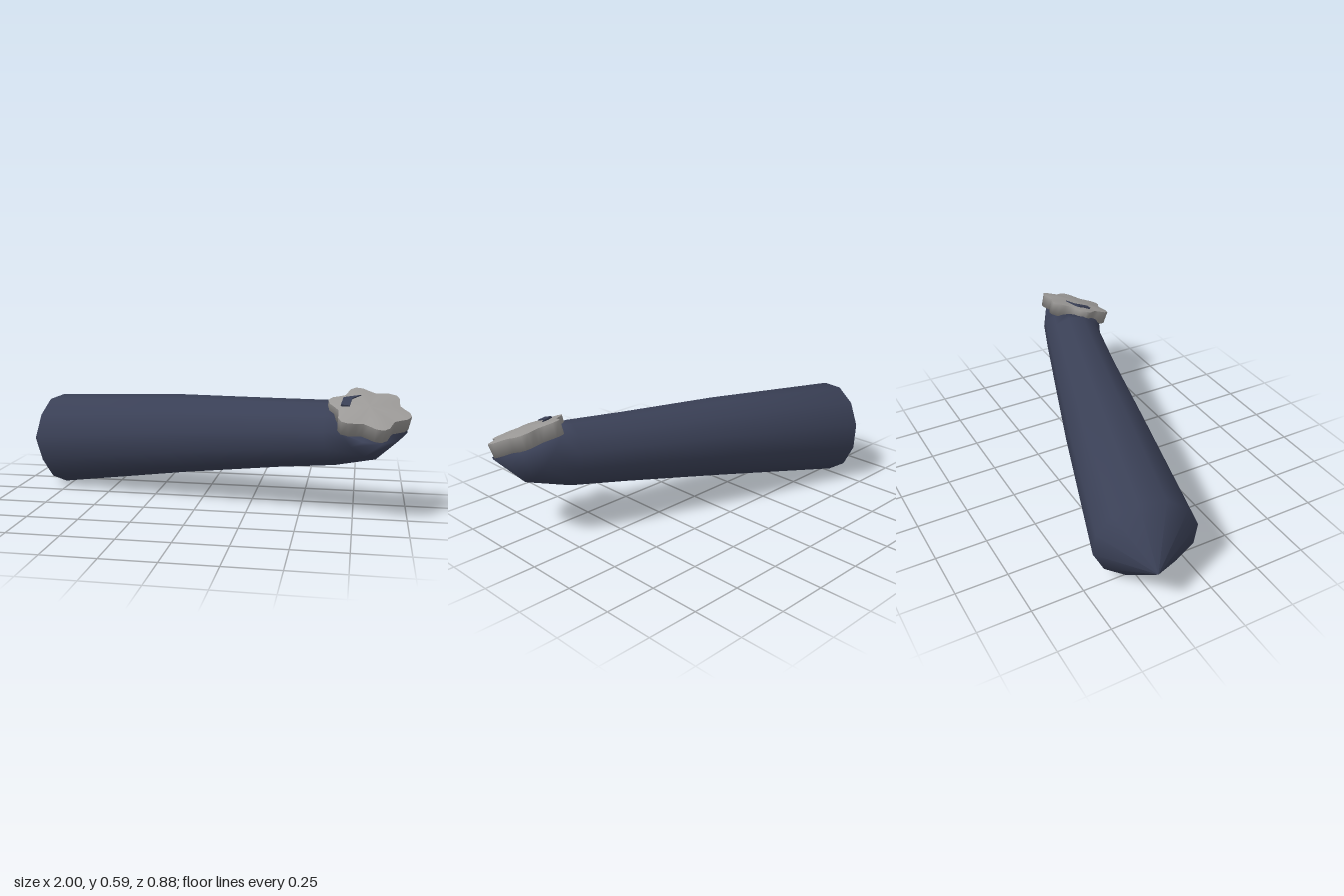
import * as THREE from 'three';

const V = (x, y, z) => new THREE.Vector3(x, y, z);

// Right-handed frame around normal n, with u as close to ref as possible
function frame(n, ref) {
  const u = ref.clone().addScaledVector(n, -ref.dot(n)).normalize();
  return { u, v: n.clone().cross(u) };
}

// Skin a row of rings; each ring has a centre c, unit normal n and radius r
function loft(rings, sides, ref, shape = () => 1) {
  const pos = [], index = [];
  rings.forEach(({ c, n, r }) => {
    const { u, v } = frame(n, ref);
    for (let j = 0; j < sides; j++) {
      const t = (j / sides) * Math.PI * 2, k = r * shape(t);
      const p = c.clone().addScaledVector(u, k * Math.cos(t)).addScaledVector(v, k * Math.sin(t));
      pos.push(p.x, p.y, p.z);
    }
  });
  for (let i = 0; i < rings.length - 1; i++) {
    for (let j = 0; j < sides; j++) {
      const a = i * sides + j, b = i * sides + (j + 1) % sides;
      index.push(a, b, b + sides, a, b + sides, a + sides);
    }
  }
  const g = new THREE.BufferGeometry();
  g.setAttribute('position', new THREE.Float32BufferAttribute(pos, 3));
  g.setIndex(index);
  g.computeVertexNormals();
  return g;
}

export function createModel() {
  const group = new THREE.Group();
  const navy = new THREE.MeshStandardMaterial({ color: 0x3a4056 });
  const grey = new THREE.MeshStandardMaterial({ color: 0x9c9a98 });
  navy.name = 'navy';
  grey.name = 'grey';
  const add = (name, geometry, material) => {
    const m = new THREE.Mesh(geometry, material);
    m.name = name;
    group.add(m);
    return m;
  };

  const axis = V(0.96, 0.13, 0.26).normalize();
  const capN = V(0.1, 0.93, 0.35).normalize();
  const bendN = axis.clone().multiplyScalar(1.1).add(capN).normalize();
  const side = axis.clone().cross(capN).normalize();

  // Tapered body: pointed wide end, straight shaft, elbow under the cap
  const ring = (x, y, z, r, n) => ({ c: V(x, y, z), n, r });
  add('body', loft([
    ring(-1, 0.215, -0.28, 0, axis),
    ring(-0.81, 0.236, -0.228, 0.236, axis),
    ring(-0.1, 0.323, -0.04, 0.197, axis),
    ring(0.38, 0.37, 0.095, 0.166, axis),
    ring(0.65, 0.395, 0.175, 0.152, axis),
    ring(0.765, 0.42, 0.22, 0.158, bendN),
    ring(0.82, 0.455, 0.26, 0.165, capN),
    ring(0.815, 0.475, 0.265, 0, capN),
  ], 12, side), navy);

  // Six-pointed cap with a gently domed top
  const capC = V(0.81, 0.53, 0.27), right = V(1, 0, 0);
  const star = t => 1 + 0.13 * Math.cos(6 * (t + Math.PI / 18));
  const level = (h, r) => ({ c: capC.clone().addScaledVector(capN, h), n: capN, r });
  add('capRim', loft([level(-0.065, 0), level(-0.068, 0.163), level(0, 0.168)], 36, right, star), grey);
  add('capTop', loft([level(0, 0.168), level(0.009, 0.1), level(0.012, 0)], 36, right, star), grey);

  // Small dark patch on the cap
  const patch = new THREE.Shape([
    [-0.04, 0.09], [-0.12, 0.05], [-0.13, -0.02], [-0.09, -0.02], [-0.08, 0.05],
  ].map(([x, y]) => new THREE.Vector2(x, y)));
  const plate = new THREE.ExtrudeGeometry(patch, { depth: 0.009, bevelEnabled: false });
  const { u, v } = frame(capN, right);
  plate.applyMatrix4(new THREE.Matrix4().makeBasis(u, v, capN)
    .setPosition(capC.clone().addScaledVector(capN, 0.005)));
  add('capPatch', plate, navy);

  return group;
}
